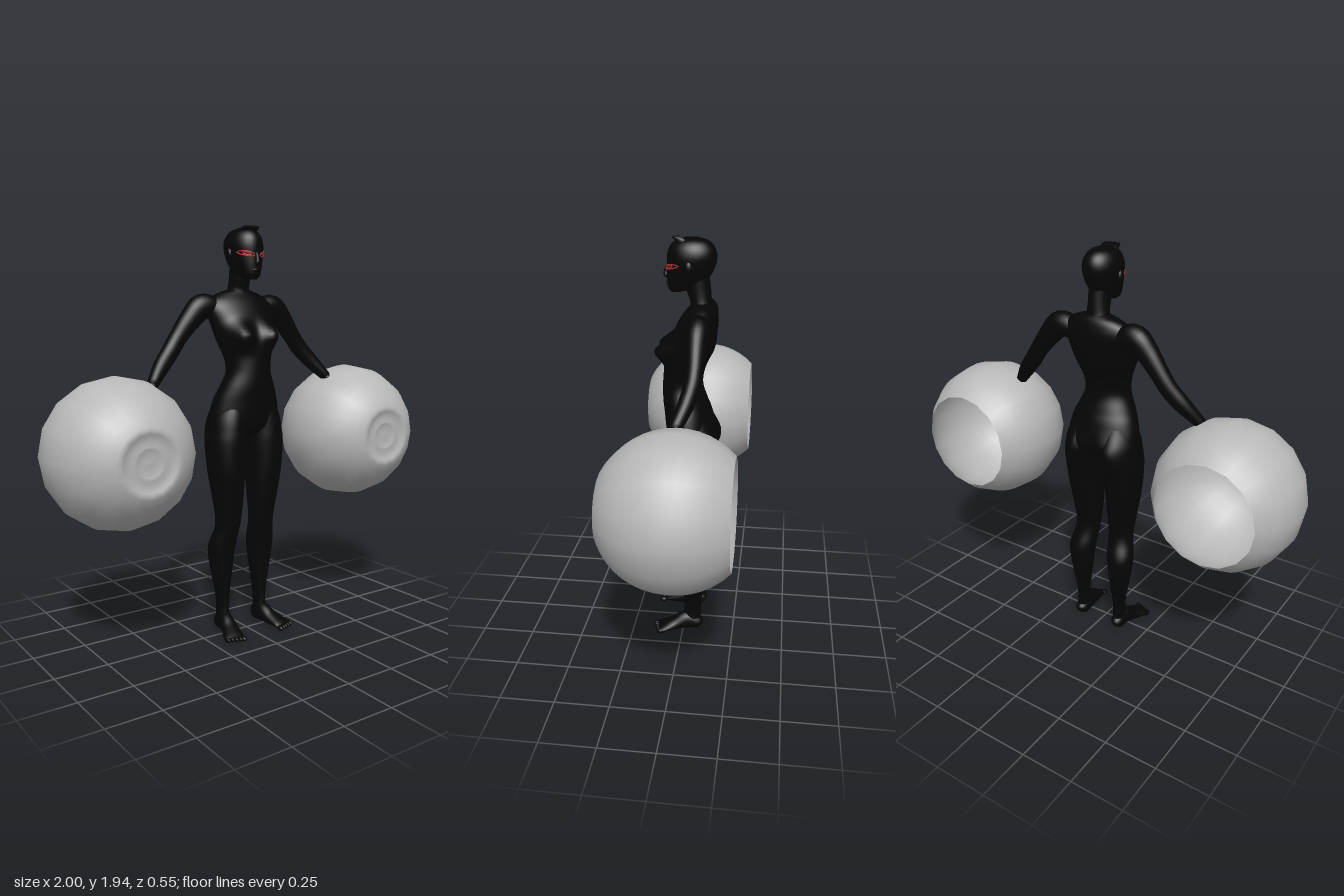
import * as THREE from 'three';

const skin = new THREE.MeshStandardMaterial({ color: 0x050505 });
skin.name = 'black skin';
const shell = new THREE.MeshStandardMaterial({ color: 0xb8b8b8, side: THREE.DoubleSide });
shell.name = 'grey shell';
const red = new THREE.MeshStandardMaterial({ color: 0xa82c2c });
red.name = 'red eye line';

const V = (x, y, z) => new THREE.Vector3(x, y, z);
const X = V(1, 0, 0), Y = V(0, 1, 0), Z = V(0, 0, 1);

// Smooth skin through elliptical rings; each row is [x, y, z, radiusU, radiusV].
// With flat = true the rings stay horizontal (rows listed upwards), otherwise they follow the path.
function loft(rows, { flat = false, ref = Z, sides = 24, steps = 5 } = {}) {
  const path = new THREE.CatmullRomCurve3(rows.map(r => V(r[0], r[1], r[2])), false, 'catmullrom');
  const radii = new THREE.CatmullRomCurve3(rows.map(r => V(r[3], r[4], 0)), false, 'catmullrom');
  const n = (rows.length - 1) * steps;
  const pos = [], idx = [];
  for (let i = 0; i <= n; i++) {
    const c = path.getPoint(i / n), r = radii.getPoint(i / n);
    const t = flat ? Y : path.getTangent(i / n);
    const u = V().crossVectors(t, ref).normalize();
    const v = V().crossVectors(u, t);
    for (let j = 0; j < sides; j++) {
      const a = (j / sides) * Math.PI * 2;
      const p = c.clone().addScaledVector(u, Math.cos(a) * r.x).addScaledVector(v, Math.sin(a) * r.y);
      pos.push(p.x, p.y, p.z);
    }
  }
  for (let i = 0; i < n; i++) {
    for (let j = 0; j < sides; j++) {
      const k = (j + 1) % sides, a = i * sides, b = a + sides;
      idx.push(a + j, b + j, a + k, a + k, b + j, b + k);
    }
  }
  const first = rows[0], last = rows[rows.length - 1], c0 = pos.length / 3, e = n * sides;
  pos.push(first[0], first[1], first[2], last[0], last[1], last[2]);
  for (let j = 0; j < sides; j++) {
    const k = (j + 1) % sides;
    idx.push(c0, j, k, c0 + 1, e + k, e + j);
  }
  const g = new THREE.BufferGeometry();
  g.setAttribute('position', new THREE.Float32BufferAttribute(pos, 3));
  g.setIndex(idx);
  g.computeVertexNormals();
  return g;
}

// Swells the bust forwards and the buttocks backwards as soft bumps
function swell(geo) {
  const p = geo.attributes.position;
  const bump = (x, y, cx, cy, s) => Math.exp(-(((x - cx) / s) ** 2) - ((y - cy) / s) ** 2);
  for (let i = 0; i < p.count; i++) {
    const x = Math.abs(p.getX(i)), y = p.getY(i), z = p.getZ(i);
    const front = THREE.MathUtils.clamp(z / 0.05, 0, 1);
    const back = THREE.MathUtils.clamp((-z - 0.04) / 0.08, 0, 1);
    p.setZ(i, z + 0.07 * front * bump(x, y, 0.083, 1.44, 0.055)
      - 0.03 * back * bump(x, y, 0.085, 1.0, 0.075));
  }
  geo.computeVertexNormals();
  return geo;
}

// Rows of [height, half width, front z, back z] for the body and head
const slices = list => list.map(([y, rx, f, b]) => [0, y, (f + b) / 2, rx, (f - b) / 2]);

export function createModel() {
  const model = new THREE.Group();
  const add = (name, geo, mat = skin) => {
    const m = new THREE.Mesh(geo, mat);
    m.name = name;
    model.add(m);
    return m;
  };
  const ball = (name, x, y, z, rx, ry, rz) => {
    const m = add(name, new THREE.SphereGeometry(1, 20, 14));
    m.position.set(x, y, z);
    m.scale.set(rx, ry, rz);
  };

  add('torso', swell(loft(slices([
    [0.955, 0.03, 0.02, -0.07], [0.975, 0.09, 0.05, -0.105], [1.01, 0.16, 0.078, -0.125],
    [1.06, 0.184, 0.09, -0.136], [1.14, 0.168, 0.098, -0.122], [1.2, 0.142, 0.105, -0.1],
    [1.27, 0.113, 0.106, -0.08], [1.34, 0.12, 0.1, -0.088], [1.42, 0.147, 0.085, -0.12],
    [1.5, 0.167, 0.06, -0.14], [1.56, 0.18, 0.035, -0.147], [1.6, 0.165, 0.01, -0.142],
    [1.63, 0.12, -0.015, -0.132], [1.65, 0.06, -0.03, -0.115],
  ]), { flat: true, sides: 48, steps: 6 })));
  add('neck', loft(slices([
    [1.6, 0.068, -0.01, -0.13], [1.65, 0.053, -0.02, -0.118],
    [1.7, 0.049, -0.003, -0.113], [1.76, 0.05, 0.01, -0.106],
  ]), { flat: true }));
  add('head', loft(slices([
    [1.695, 0.022, 0.068, 0.02], [1.715, 0.048, 0.08, -0.045], [1.755, 0.066, 0.084, -0.1],
    [1.8, 0.077, 0.084, -0.127], [1.85, 0.083, 0.084, -0.138], [1.89, 0.073, 0.073, -0.128],
    [1.918, 0.05, 0.045, -0.1], [1.932, 0.015, 0.0, -0.055],
  ]), { flat: true, sides: 36 }));

  // Face
  add('nose', loft([[0, 1.815, 0.08, 0.007, 0.007], [0, 1.785, 0.088, 0.009, 0.01],
    [0, 1.768, 0.088, 0.013, 0.012], [0, 1.758, 0.082, 0.008, 0.004]], { sides: 12 }));
  ball('lips', 0, 1.736, 0.079, 0.022, 0.009, 0.009);

  // Short tuft of hair above the forehead
  for (let i = -3; i <= 3; i++) {
    const x = i * 0.011, z = 0.045 - Math.abs(i) * 0.004;
    add('hairTuft', loft([[x, 1.895, z - 0.035, 0.012, 0.022], [x, 1.918, z - 0.015, 0.01, 0.016],
      [x, 1.933, z + 0.014, 0.005, 0.004]], { sides: 8 }));
  }

  for (const s of [1, -1]) {
    const side = s > 0 ? 'left' : 'right';
    const limb = (rows, opts) => loft(rows.map(([x, ...rest]) => [x * s, ...rest]), opts);
    const part = (name, rows, opts) => add(side + name, limb(rows, opts));

    ball(side + 'Ear', 0.084 * s, 1.81, -0.02, 0.012, 0.027, 0.018);

    // Slanted almond outlines wrapped on the face
    for (const k of [1, 0.5]) {
      const pts = [];
      for (let i = 0; i < 16; i++) {
        const a = (i / 16) * Math.PI * 2;
        const x = 0.044 + 0.029 * k * Math.cos(a);
        const y = 1.809 + 0.01 * k * Math.sin(a) + (x - 0.044) * 0.22;
        pts.push(V(x * s, y, -0.018 + 0.106 * Math.sqrt(1 - (x / 0.08) ** 2)));
      }
      add(side + 'EyeLine', new THREE.TubeGeometry(
        new THREE.CatmullRomCurve3(pts, true), 32, 0.003, 6, true), red);
    }

    part('Arm', [
      [0.12, 1.56, -0.07, 0.05, 0.05], [0.2, 1.57, -0.075, 0.06, 0.055],
      [0.265, 1.51, -0.075, 0.052, 0.047], [0.325, 1.435, -0.076, 0.043, 0.04],
      [0.37, 1.372, -0.07, 0.042, 0.038], [0.43, 1.305, -0.05, 0.038, 0.035],
      [0.5, 1.225, -0.012, 0.025, 0.027],
    ]);
    part('Palm', [
      [0.488, 1.24, -0.02, 0.022, 0.024], [0.53, 1.19, 0.008, 0.02, 0.034],
      [0.56, 1.148, 0.024, 0.018, 0.041], [0.582, 1.115, 0.034, 0.012, 0.036],
    ], { ref: V(-0.55 * s, -0.05, 0.83) });
    // Four fingers and a thumb, inside the shell
    for (let i = 0; i < 4; i++) {
      const k = (i - 1.5) * 0.02, l = [0.07, 0.088, 0.092, 0.08][i];
      const x = 0.577 - 0.55 * k, y = 1.12 - 0.05 * k, z = 0.032 + 0.83 * k;
      part('Finger', [[x, y, z, 0.01, 0.01],
        [x + 0.25 * l, y - 0.4 * l, z + 0.15 * l, 0.009, 0.009],
        [x + 0.45 * l, y - 0.86 * l, z + 0.28 * l, 0.004, 0.004]], { sides: 10 });
    }
    part('Thumb', [[0.518, 1.19, 0.025, 0.012, 0.012], [0.515, 1.155, 0.055, 0.011, 0.011],
      [0.525, 1.12, 0.072, 0.005, 0.005]], { sides: 10, ref: X });

    add(side + 'Leg', swell(limb([
      [0.11, 0.05, -0.045, 0.032, 0.042], [0.11, 0.12, -0.048, 0.026, 0.042],
      [0.11, 0.19, -0.05, 0.032, 0.045], [0.113, 0.3, -0.053, 0.052, 0.056],
      [0.113, 0.42, -0.05, 0.068, 0.064], [0.1, 0.51, -0.025, 0.062, 0.06],
      [0.097, 0.57, -0.015, 0.063, 0.063], [0.1, 0.67, -0.013, 0.075, 0.077],
      [0.107, 0.8, -0.015, 0.087, 0.098], [0.107, 0.93, -0.02, 0.095, 0.11],
      [0.103, 1.0, -0.022, 0.091, 0.11], [0.095, 1.06, -0.022, 0.087, 0.104],
      [0.08, 1.14, -0.018, 0.068, 0.085],
    ], { flat: true, sides: 32 })));
    part('Foot', [
      [0.108, 0.028, -0.09, 0.016, 0.016], [0.11, 0.036, -0.075, 0.032, 0.035],
      [0.113, 0.048, -0.02, 0.036, 0.047], [0.125, 0.032, 0.04, 0.041, 0.032],
      [0.142, 0.02, 0.095, 0.049, 0.019], [0.147, 0.014, 0.12, 0.045, 0.012],
    ], { ref: Y });
    for (let i = 0; i < 5; i++) {
      ball(side + 'Toe', (0.11 + i * 0.0185) * s, 0.012, 0.134 - i * 0.007,
        i ? 0.0095 : 0.014, 0.012, 0.02);
    }

    // Hollow faceted globe, open at the back, with raised rings in front
    const profile = [];
    for (let i = 0; i <= 14; i++) {
      const a = THREE.MathUtils.lerp(-0.8, 1.1, i / 14);
      profile.push(new THREE.Vector2(0.339 * Math.cos(a), 0.339 * Math.sin(a)));
    }
    for (const [r, z] of [[0.137, 0.305], [0.125, 0.303], [0.112, 0.296], [0.09, 0.294],
      [0.072, 0.297], [0.06, 0.297], [0.048, 0.291], [0.02, 0.291], [0, 0.293]]) {
      profile.push(new THREE.Vector2(r, z));
    }
    const globe = add(side + 'Globe', new THREE.LatheGeometry(profile, 16).rotateX(Math.PI / 2), shell);
    globe.position.set(0.661 * s, 0.936, -0.032);
  }
  return model;
}
